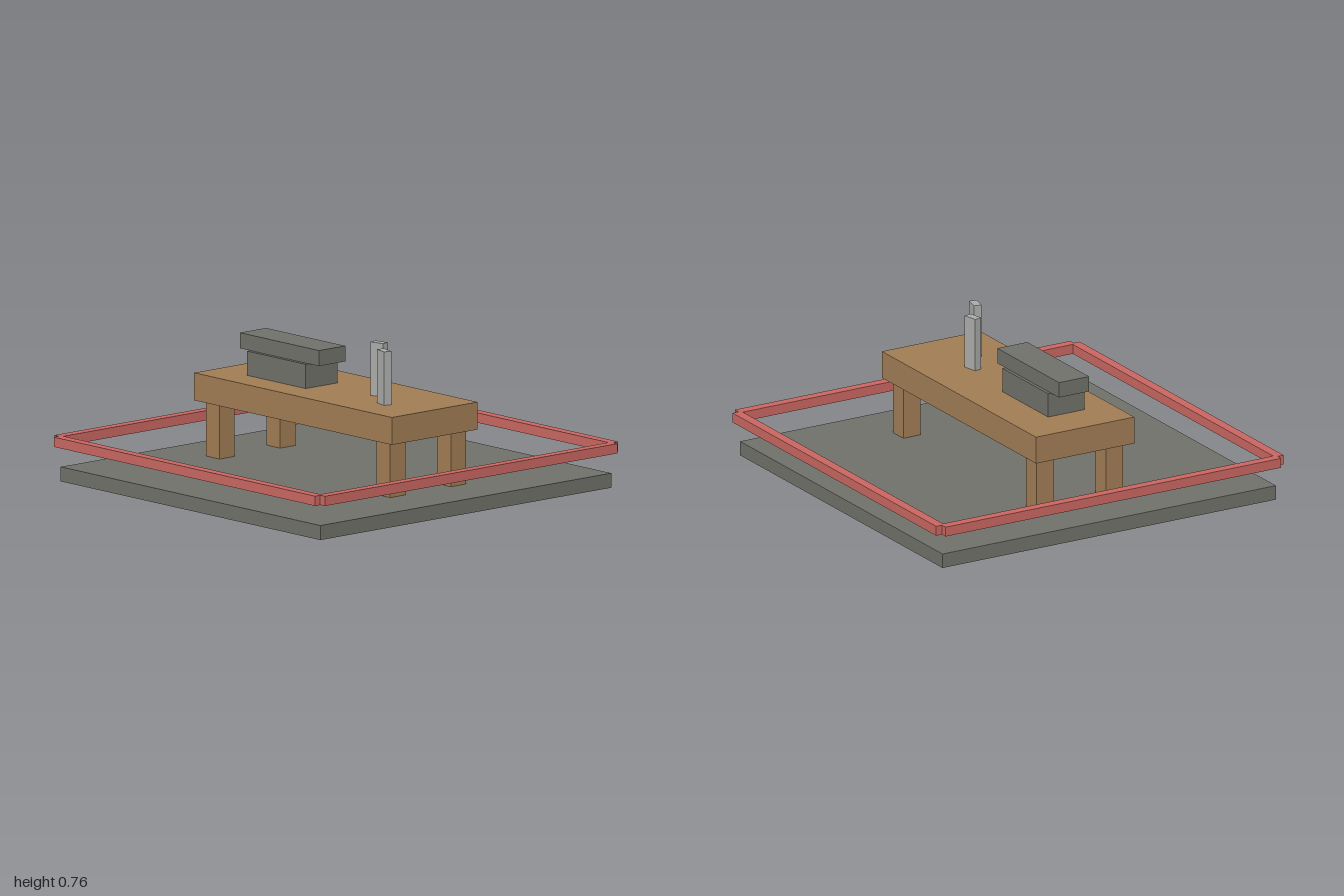
import * as THREE from 'three';

const material = (name, color) => {
  const m = new THREE.MeshStandardMaterial({ color });
  m.name = name;
  return m;
};

export function createModel() {
  const group = new THREE.Group();
  const stone = material('dark stone', 0x70706a);
  const wood = material('wood', 0xa07c54);
  const red = material('red rail', 0xc86660);
  const metal = material('light metal', 0xaaaaa8);

  // Box from its minimum and maximum corners
  const box = (name, mat, [x0, y0, z0], [x1, y1, z1], turn = 0) => {
    const mesh = new THREE.Mesh(new THREE.BoxGeometry(x1 - x0, y1 - y0, z1 - z0), mat);
    mesh.position.set((x0 + x1) / 2, (y0 + y1) / 2, (z0 + z1) / 2);
    mesh.rotation.y = turn;
    mesh.name = name;
    group.add(mesh);
  };

  // Floor slab
  box('floor', stone, [-0.96, 0, -0.96], [0.96, 0.073, 0.96]);

  // Rails around the floor, crossing just inside the corners
  for (const s of [-1, 1]) {
    const c = s * 0.975;
    box('sideRail', red, [c - 0.025, 0.178, -0.966], [c + 0.025, 0.227, 0.966]);
    box('endRail', red, [-0.966, 0.178, c - 0.025], [0.966, 0.227, c + 0.025]);
  }

  // Workbench
  box('benchTop', wood, [-0.732, 0.35, -0.283], [0.73, 0.488, 0.283]);
  for (const x of [-0.631, 0.631]) {
    for (const z of [-0.2, 0.2]) {
      box('benchLeg', wood, [x - 0.05, 0.073, z - 0.05], [x + 0.05, 0.35, z + 0.05]);
    }
  }

  // Anvil: block with a longer, narrower head
  box('anvilBase', stone, [-0.512, 0.488, -0.08], [-0.078, 0.61, 0.13]);
  box('anvilHead', stone, [-0.588, 0.61, -0.063], [-0.002, 0.688, 0.11]);

  // Two upright bars, turned slightly
  for (const [x, z, turn] of [[0.29, -0.026, 0.2], [0.454, 0.088, -0.24]]) {
    box('uprightBar', metal, [x - 0.038, 0.488, z - 0.02], [x + 0.038, 0.757, z + 0.02], turn);
  }
  return group;
}
